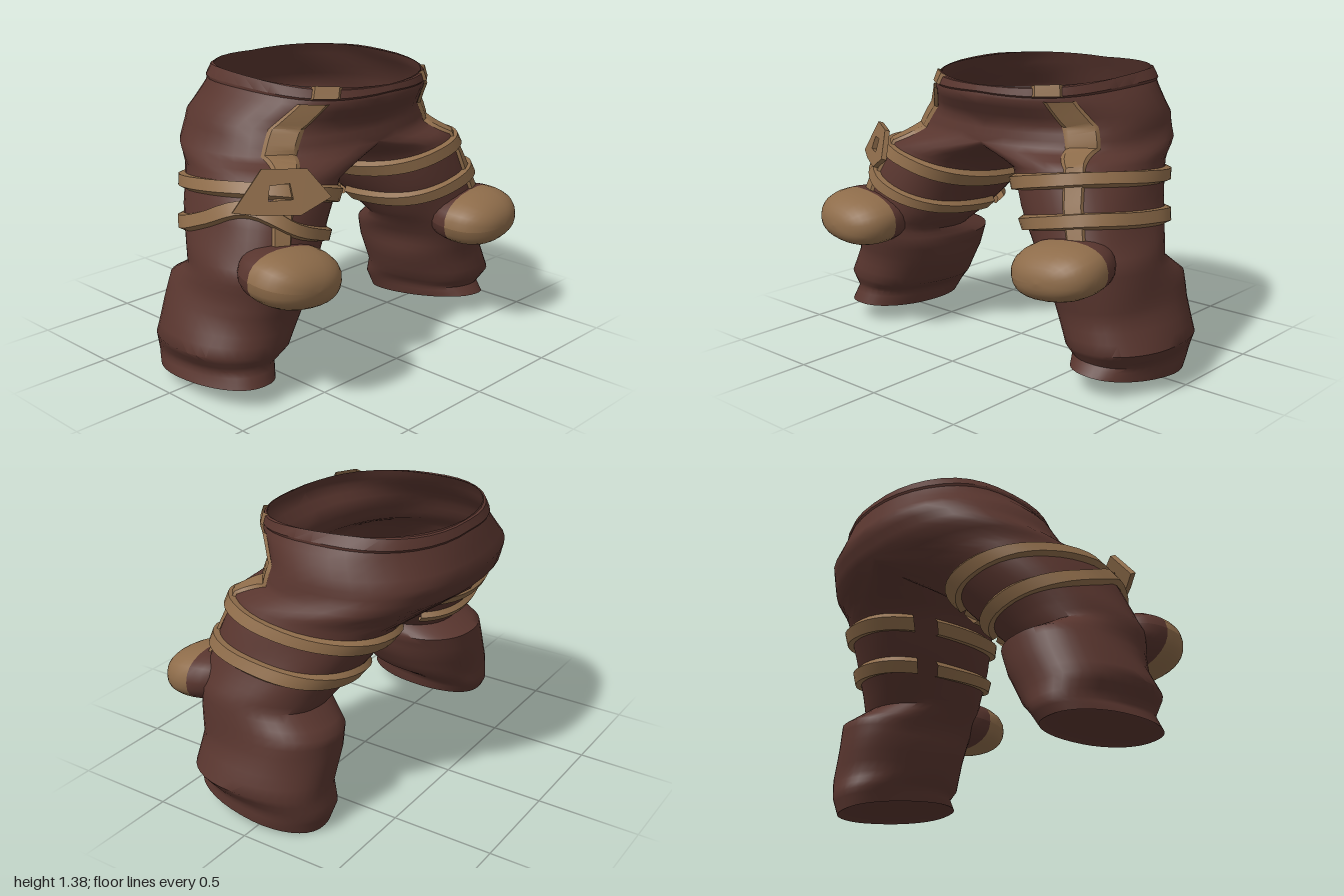
import * as THREE from 'three';
import { mergeGeometries, toCreasedNormals } from 'three/addons/utils/BufferGeometryUtils.js';

const cloth = new THREE.MeshStandardMaterial({ color: 0x58352e, side: THREE.DoubleSide });
cloth.name = 'dark brown cloth';
const leather = new THREE.MeshStandardMaterial({ color: 0x8e6c4a, side: THREE.DoubleSide });
leather.name = 'tan leather';

// Cross-section: inner x,y  outer x,y  front z  back z  front-to-back tilt  [centre x,y]
const row = (ix, iy, ox, oy, zf, zb, tilt, cx = (ix + ox) / 2, cy = (iy + oy) / 2) =>
  [ix, iy, ox, oy, zf, zb, tilt, cx, cy];
const SEAM = 3; // row where the hips divide into two legs

function makeRows(side) {
  const L = side > 0;
  const hips = (L ? [[0.56, 1.375], [0.6, 1.29], [0.66, 1.17], [0.7, 1.07]]
    : [[-0.42, 1.38], [-0.47, 1.29], [-0.57, 1.18], [-0.65, 1.06]]);
  const mid = [[0.37, -0.58, -0.02, 0.07, 1.36], [0.39, -0.61, -0.01, 0.06, 1.3],
    [0.31, -0.66, 0, 0.05, 1.16], [0.33, -0.61, 0.005, 0.04, 1.06]];
  const rows = hips.map(([ox, oy], i) => row(0.04, 0.99, ox, oy, ...mid[i]));
  const legs = L ? [
    [0.11, 0.93, 0.72, 1.0, 0.38, -0.42, 0.03],
    [0.20, 0.76, 0.78, 0.85, 0.41, -0.31, 0.03],
    [0.30, 0.63, 0.84, 0.70, 0.43, -0.21, 0.03],
    [0.36, 0.56, 0.88, 0.60, 0.45, -0.16, 0.02],
    [0.41, 0.45, 0.91, 0.49, 0.43, -0.28, 0],
    [0.43, 0.35, 0.93, 0.37, 0.41, -0.28, 0],
    [0.49, 0.20, 0.99, 0.22, 0.42, -0.27, 0.01],
    [0.52, 0.14, 0.93, 0.12, 0.38, -0.29, 0.03],
    [0.54, 0.08, 0.92, 0.05, 0.42, -0.26, 0.05],
  ] : [
    [-0.09, 0.89, -0.69, 0.99, 0.38, -0.42, 0.03],
    [-0.22, 0.72, -0.78, 0.85, 0.41, -0.31, 0.03],
    [-0.30, 0.61, -0.84, 0.70, 0.43, -0.21, 0.03],
    [-0.38, 0.54, -0.87, 0.60, 0.45, -0.16, 0.02],
    [-0.35, 0.48, -0.89, 0.50, 0.43, -0.28, 0],
    [-0.39, 0.36, -0.93, 0.39, 0.40, -0.28, 0],
    [-0.47, 0.22, -0.99, 0.25, 0.40, -0.27, 0.01],
    [-0.57, 0.15, -0.94, 0.15, 0.37, -0.28, 0.03],
    [-0.59, 0.08, -0.96, 0.09, 0.40, -0.25, 0.02],
  ];
  legs.forEach((r) => rows.push(row(...r)));
  // Hem turned inward, then closed
  const [ix, iy, ox, oy, zf, zb, t, cx, cy] = rows[rows.length - 1];
  const cz = (zf + zb) / 2;
  [0.88, 0].forEach((k) => {
    rows.push(row(cx + (ix - cx) * k, cy + (iy - cy) * k + 0.015, cx + (ox - cx) * k, cy + (oy - cy) * k + 0.015,
      cz + (zf - cz) * k, cz + (zb - cz) * k, t * k));
  });
  return rows;
}
const ROWS = { 1: makeRows(1), '-1': makeRows(-1) };

// Point on the trousers: u 0 front, 0.5 outer, 1 back, 1.5 inner; v counts rows downward
function point(side, u, v) {
  const rows = ROWS[side];
  const i = Math.min(Math.floor(v), rows.length - 2), f = v - i;
  const [ix, iy, ox, oy, zf, zb, tilt, cx, cy] = rows[i].map((a, k) => a + (rows[i + 1][k] - a) * f);
  const a = Math.PI * u;
  const soft = (t) => (Math.abs(t) < 1e-9 ? 0 : Math.sign(t) * Math.abs(t) ** 0.88);
  const s = soft(Math.sin(a)), c = soft(Math.cos(a));
  const fold = 1 + 0.02 * Math.sin(a) * Math.sin(3 * a + v * 2.3);
  const w = Math.abs(s) * fold;
  const [px, py] = s >= 0 ? [ox, oy] : [ix, iy];
  return new THREE.Vector3(cx + (px - cx) * w, cy + (py - cy) * w + tilt * c,
    (zf + zb) / 2 + (zf - zb) / 2 * c);
}

function normal(side, u, v) {
  const du = point(side, u + 0.02, v).sub(point(side, u - 0.02, v));
  const dv = point(side, u, v + 0.1).sub(point(side, u, Math.max(0, v - 0.1)));
  return dv.cross(du).multiplyScalar(side).normalize();
}

// Quad grid from a point function
function grid(nu, nv, fn, flip) {
  const pos = [], idx = [];
  for (let j = 0; j <= nv; j++) for (let i = 0; i <= nu; i++) pos.push(...fn(i / nu, j / nv).toArray());
  for (let j = 0; j < nv; j++) for (let i = 0; i < nu; i++) {
    const a = j * (nu + 1) + i, b = a + 1, c = a + nu + 1, d = c + 1;
    idx.push(...(flip ? [a, b, c, b, d, c] : [a, c, b, b, c, d]));
  }
  const g = new THREE.BufferGeometry();
  g.setAttribute('position', new THREE.Float32BufferAttribute(pos, 3));
  g.setIndex(idx);
  return g;
}

// Raised band lying on the cloth along a [u, v] path
function band(side, path, halfU, halfV, n, lift) {
  const corners = [[-1, 0], [-0.75, 1], [0.75, 1], [1, 0]];
  const g = grid(3, n, (s, t) => {
    const [k, h] = corners[Math.round(s * 3)];
    const [u, v] = path(t);
    const U = u + k * halfU, V = Math.max(0, v + k * halfV);
    return point(side, U, V).addScaledVector(normal(side, U, V), h ? lift : 0.001);
  }, halfU > 0 ? side < 0 : side > 0);
  return toCreasedNormals(g, 0.7);
}

// Thigh strip position around the leg at v = 1, 2, 3 ...
const STRIP_U = [0.25, 0.255, 0.262, 0.185, 0.145, 0.115, 0.1];
const stripPath = (t) => {
  const v = 1 + t * 5.8, i = Math.min(Math.floor(v - 1), 5);
  return [STRIP_U[i] + (STRIP_U[i + 1] - STRIP_U[i]) * (v - 1 - i), v];
};

// Part of a boxy ellipsoid about the z axis, from angle a to b off the front
function padShell(a, b) {
  const geo = new THREE.SphereGeometry(1, 24, 10, 0, Math.PI * 2, a, b - a).rotateX(Math.PI / 2);
  const p = geo.attributes.position;
  const boxy = (t) => Math.sign(t) * Math.abs(t) ** 0.85;
  for (let i = 0; i < p.count; i++) {
    const z = p.getZ(i);
    p.setXYZ(i, boxy(p.getX(i)) * 0.23, boxy(p.getY(i)) * 0.125 - 0.02 * z, boxy(z) * 0.2);
  }
  geo.computeVertexNormals();
  return geo;
}

export function createModel() {
  const model = new THREE.Group();
  model.name = 'trousers';
  const add = (name, geo, mat, parent = model) => {
    const m = new THREE.Mesh(geo, mat);
    m.name = name;
    parent.add(m);
    return m;
  };

  // Hips and both legs as one hollow garment
  const parts = [];
  for (const side of [1, -1]) {
    const last = ROWS[side].length - 1;
    parts.push(grid(20, SEAM * 3, (s, t) => point(side, s, t * SEAM), side < 0));
    parts.push(grid(40, (last - SEAM) * 3, (s, t) => point(side, s * 2, SEAM + t * (last - SEAM)), side < 0));
  }
  add('hipsAndLegs', toCreasedNormals(mergeGeometries(parts), 0.95), cloth);

  for (const side of [1, -1]) {
    const name = side > 0 ? 'left' : 'right';
    const g = new THREE.Group();
    g.name = name + 'LegTrim';
    model.add(g);

    // Waist hem
    add(name + 'WaistHem', band(side, (t) => [t, 0.35 + 0.1 * Math.sin(t * 9)], 0, 0.35, 20, 0.01), cloth, g);

    // Tab on the waist and the long strip down the thigh
    add(name + 'WaistTab', band(side, (t) => [0.215, t * 0.75], 0.05, 0, 4, 0.022), leather, g);
    add(name + 'ThighStrip', band(side, stripPath, 0.05, 0, 29, 0.014), leather, g);

    // Two straps around the thigh, open at the inner back; the right lower one climbs towards the plate
    const climb = side > 0 ? 0 : 0.6;
    add(name + 'UpperStrap', band(side,
      (t) => [-0.6 + t * 1.9, 4.35 + 0.06 * Math.sin(t * 12)], 0, 0.21, 40, 0.03), leather, g);
    add(name + 'LowerStrap', band(side, (t) => {
      const u = -0.6 + t * 1.9;
      return [u, 5.45 + 0.06 * Math.sin(t * 12) - climb * Math.exp(-(((u - 0.32) / 0.2) ** 2))];
    }, 0, 0.23, 40, 0.03), leather, g);

    // Leather knee pad on a padded cloth bulge
    const knee = new THREE.Group();
    knee.name = name + 'Knee';
    g.add(knee);
    add(name + 'KneePad', padShell(0, 1.6), leather, knee);
    add(name + 'KneeBulge', padShell(1.6, Math.PI), cloth, knee);
    knee.position.set(side > 0 ? 0.635 : -0.66, side > 0 ? 0.595 : 0.615, 0.445);
    knee.rotation.set(0, side * 0.06, side * 0.1);
  }

  // Pierced strap plate on the right thigh
  const plate = new THREE.Shape([[-0.22, -0.07], [-0.1, -0.09], [0.08, -0.1], [0.22, -0.03],
    [0.12, 0.1], [-0.08, 0.11]].map(([x, y]) => new THREE.Vector2(x, y)));
  plate.holes.push(new THREE.Path([[-0.06, -0.03], [-0.05, 0.035], [0.04, 0.04], [0.05, -0.03]]
    .map(([x, y]) => new THREE.Vector2(x, y))));
  const buckle = add('rightStrapPlate',
    new THREE.ExtrudeGeometry(plate, { depth: 0.025, bevelEnabled: false }), leather);
  buckle.position.set(-0.63, 0.96, 0.36);
  buckle.lookAt(buckle.position.clone().add(new THREE.Vector3(-0.5, 0.3, 0.8)));
  return model;
}
